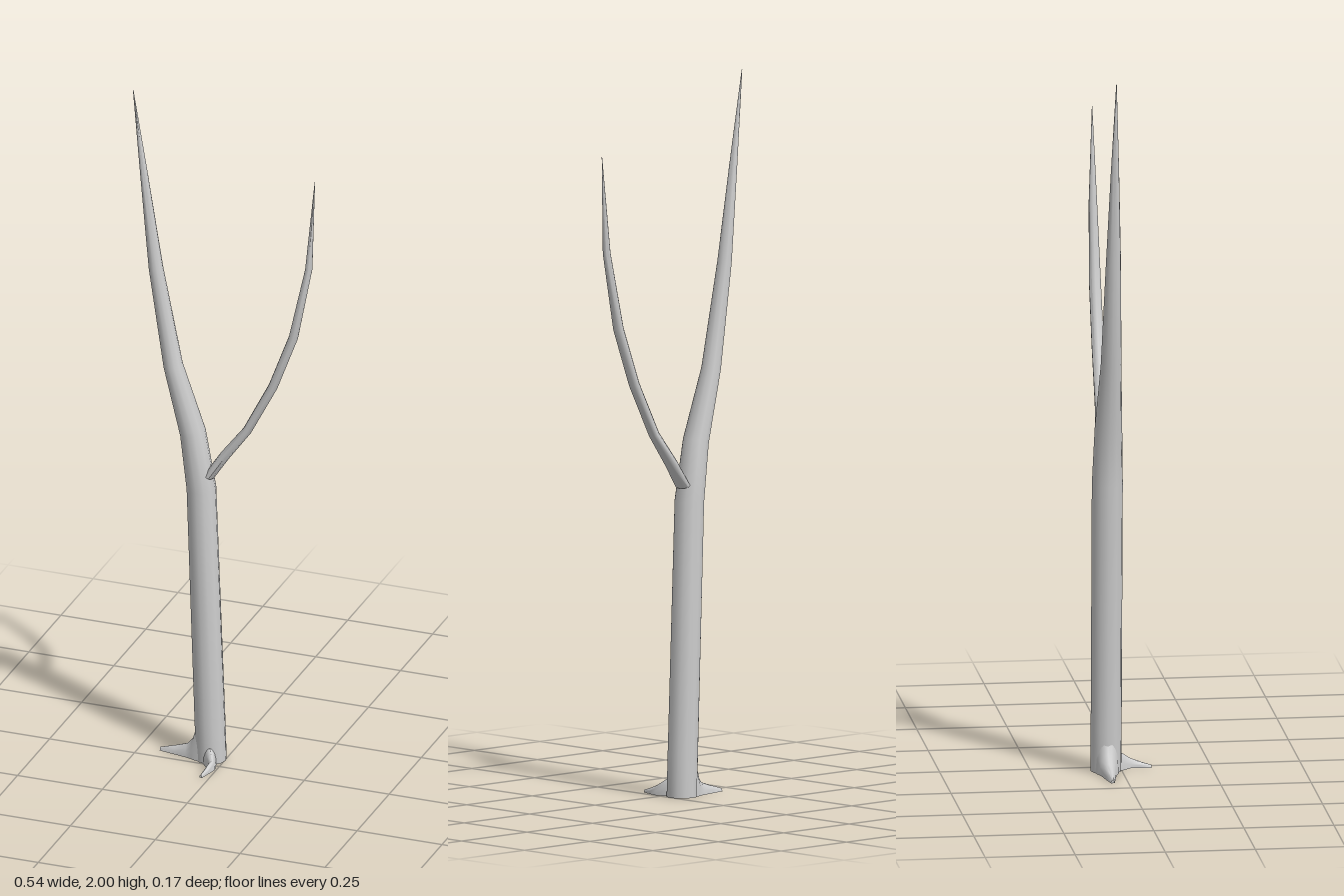
import * as THREE from 'three';
import { toCreasedNormals } from 'three/addons/utils/BufferGeometryUtils.js';

const V = (x, y, z) => new THREE.Vector3(x, y, z);
const Z = -0.043; // plane of trunk and branch

// Skins rings along a path. stations: [x, y, z, radius across, radius along "up"].
// arc = 2*PI gives a round limb, arc = PI a dome with a flat underside.
function loft(name, stations, up, sides, arc, firstTangent) {
  const centres = stations.map((s) => V(s[0], s[1], s[2]));
  const count = arc < 6 ? sides + 1 : sides;
  const pos = [];
  const index = [];
  centres.forEach((c, k) => {
    const before = centres[Math.max(k - 1, 0)];
    const after = centres[Math.min(k + 1, centres.length - 1)];
    const t = k === 0 && firstTangent ? firstTangent : after.clone().sub(before).normalize();
    const across = up.clone().cross(t).normalize();
    for (let i = 0; i < count; i++) {
      const a = (i / sides) * arc;
      const p = c.clone()
        .addScaledVector(across, Math.cos(a) * stations[k][3])
        .addScaledVector(up, Math.sin(a) * stations[k][4]);
      pos.push(p.x, p.y, p.z);
    }
  });
  const last = (centres.length - 1) * count;
  for (let k = 0; k < last; k += count) {
    for (let i = 0; i < count; i++) {
      const a = k + i, b = k + ((i + 1) % count);
      index.push(a, b, a + count, b, b + count, a + count);
    }
  }
  // end caps
  const start = pos.length / 3;
  [centres[0], centres[centres.length - 1]].forEach((c) => pos.push(c.x, c.y, c.z));
  for (let i = 0; i < count; i++) {
    const j = (i + 1) % count;
    index.push(start, j, i, start + 1, last + i, last + j);
  }
  const geo = new THREE.BufferGeometry();
  geo.setAttribute('position', new THREE.Float32BufferAttribute(pos, 3));
  geo.setIndex(index);
  const mesh = new THREE.Mesh(
    toCreasedNormals(geo, 0.9),
    new THREE.MeshStandardMaterial({ color: 0xcccccc })
  );
  mesh.name = name;
  return mesh;
}

export function createModel() {
  const tree = new THREE.Group();
  tree.name = 'bareTree';
  const round = Math.PI * 2;
  const front = V(0, 0, 1);
  const up = V(0, 1, 0);

  // Trunk: straight stem leaning into a long tapering point
  const trunk = [
    [-0.04, 0, 0.043], [-0.044, 0.12, 0.043], [-0.069, 0.82, 0.041], [-0.094, 0.985, 0.036],
    [-0.152, 1.18, 0.027], [-0.203, 1.47, 0.02], [-0.237, 1.74, 0.011], [-0.27, 2, 0.0008],
  ].map(([x, y, r]) => [x, y, Z, r, Math.min(0.043, r * 1.06)]);
  tree.add(loft('trunk', trunk, front, 12, round, up));

  // Side branch curving up from the fork
  const branch = [
    [-0.043, 0.865, 0.014, 0.028], [0.0, 0.93, 0.014, 0.024], [0.066, 1.018, 0.0125, 0.0185],
    [0.142, 1.165, 0.013, 0.0175], [0.202, 1.325, 0.013, 0.017], [0.247, 1.54, 0.01, 0.012],
    [0.265, 1.81, 0.0006, 0.0006],
  ].map(([x, y, a, b]) => [x, y, Z, a, b]);
  tree.add(loft('branch', branch, front, 10, round));

  // Surface roots: domed, flat underneath, flaring out of the trunk foot
  const sideRoot = [
    [-0.05, 0, Z, 0.036, 0.14], [-0.081, 0, Z, 0.03, 0.095], [-0.092, 0, Z, 0.025, 0.055],
    [-0.11, 0, Z, 0.02, 0.034], [-0.145, 0, Z, 0.014, 0.022], [-0.19, 0, Z, 0.005, 0.009],
  ];
  tree.add(loft('sideRoot', sideRoot, up, 8, Math.PI));

  const frontRoot = [
    [-0.04, 0, -0.025, 0.02, 0.06], [-0.027, 0, 0, 0.017, 0.047], [-0.013, 0, 0.027, 0.01, 0.027],
    [-0.018, 0, 0.055, 0.007, 0.017], [-0.023, 0, 0.085, 0.004, 0.008],
  ];
  tree.add(loft('frontRoot', frontRoot, up, 8, Math.PI));

  return tree;
}
